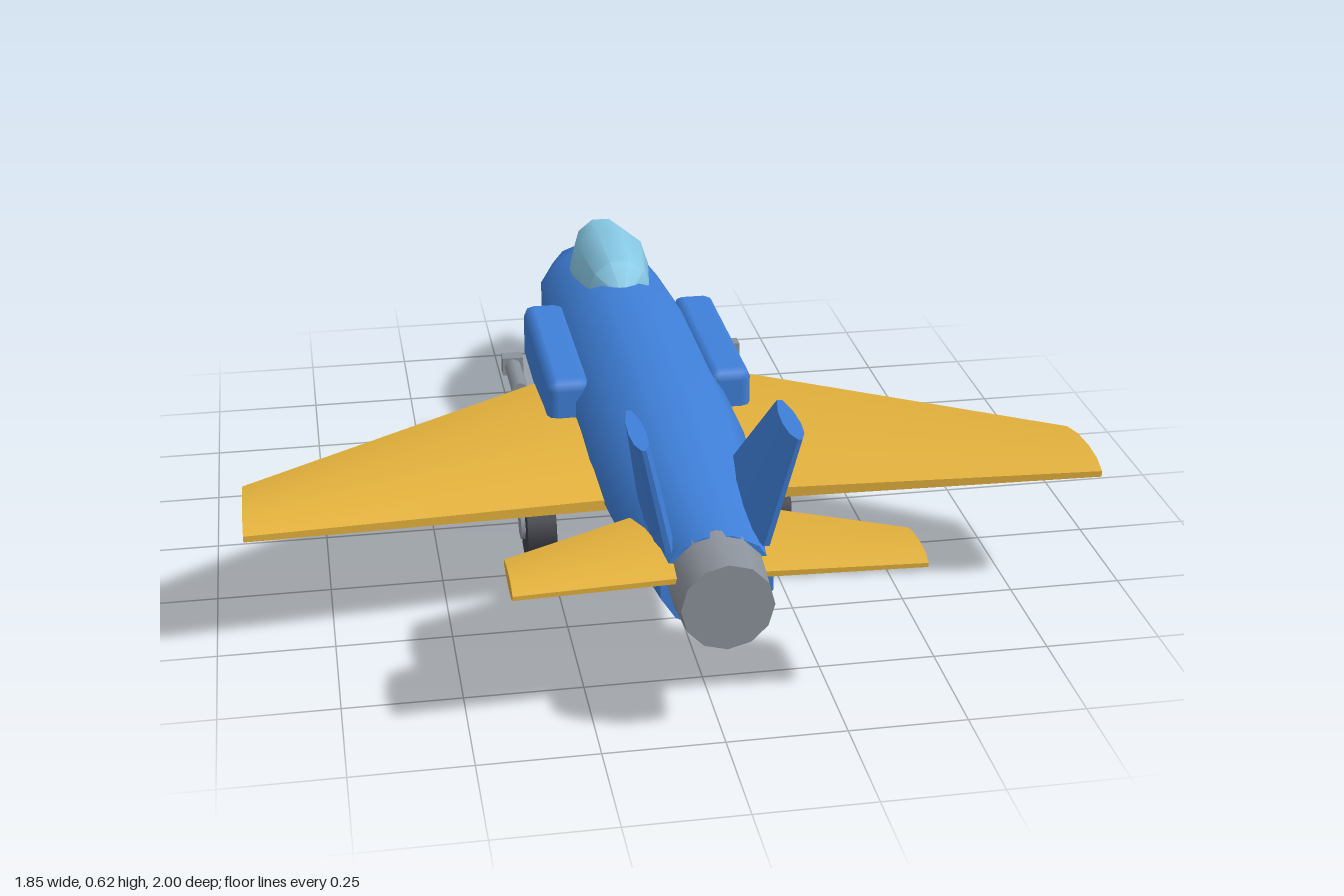
import * as THREE from 'three';
import { toCreasedNormals } from 'three/addons/utils/BufferGeometryUtils.js';
import { RoundedBoxGeometry } from 'three/addons/geometries/RoundedBoxGeometry.js';

const paint = (color) => new THREE.MeshStandardMaterial({ color });

// Skin over closed rings of [x, y, z] points, with both ends capped and faces turned outward
function loft(rings, crease) {
  const n = rings[0].length;
  const pos = rings.flat(2);
  const tris = [];
  for (let r = 0; r < rings.length - 1; r++) {
    for (let i = 0; i < n; i++) {
      const a = r * n + i, b = r * n + (i + 1) % n;
      tris.push([a, b, b + n], [a, b + n, a + n]);
    }
  }
  const last = (rings.length - 1) * n;
  for (let i = 1; i < n - 1; i++) {
    tris.push([0, i + 1, i], [last, last + i, last + i + 1]);
  }
  const point = (i) => new THREE.Vector3().fromArray(pos, i * 3);
  let volume = 0;
  for (const [a, b, c] of tris) volume += point(a).dot(point(b).cross(point(c)));
  if (volume < 0) tris.forEach((t) => t.reverse());
  const g = new THREE.BufferGeometry();
  g.setAttribute('position', new THREE.Float32BufferAttribute(pos, 3));
  g.setIndex(tris.flat());
  return toCreasedNormals(g, crease);
}

// Elliptical body along z; stations are [z, centre y, half width, half height]
function body(stations, sides) {
  return loft(stations.map(([z, y, w, h]) => Array.from({ length: sides }, (_, i) => {
    const a = ((i + 0.5) / sides) * Math.PI * 2;
    return [Math.sin(a) * w, y + Math.cos(a) * h, z];
  })), 0.75);
}

// Foil outline: [fraction of chord from the leading edge, fraction of half thickness]
const upper = [[0, 0.3], [0.3, 0.85], [0.6, 1], [0.85, 0.8], [1, 0.25]];
const foil = [...upper, ...upper.map(([u, v]) => [u, -v]).reverse()];

// Foil surface between two ends { x, y, z0, z1, t }; upright ones are thick along x
function surface(ends, side, upright = false) {
  return loft(ends.map(({ x, y, z0, z1, t }) => foil.map(([u, v]) => [
    side * (x + (upright ? v * t : 0)),
    y + (upright ? 0 : v * t),
    z0 + u * (z1 - z0),
  ])), 0.5);
}

export function createModel() {
  const model = new THREE.Group();
  const blue = paint(0x3f7fd8), yellow = paint(0xe2b03c), glass = paint(0x87c8e4);
  const grey = paint(0x8c929b), dark = paint(0x3c3f46);

  const add = (name, geometry, material, x = 0, y = 0, z = 0) => {
    const mesh = new THREE.Mesh(geometry, material);
    mesh.name = name;
    mesh.position.set(x, y, z);
    model.add(mesh);
    return mesh;
  };
  const box = (name, material, w, h, d, x, y, z) =>
    add(name, new THREE.BoxGeometry(w, h, d), material, x, y, z);
  const wheel = (name, material, radius, width, sides, x, y, z) => {
    const g = new THREE.CylinderGeometry(radius, radius, width, sides).rotateZ(Math.PI / 2);
    return add(name, g, material, x, y, z);
  };

  // Fuselage, nose toward -z
  add('fuselage', body([
    [-1, 0.29, 0.002, 0.002],
    [-0.88, 0.293, 0.102, 0.07],
    [-0.7, 0.298, 0.158, 0.118],
    [-0.3, 0.308, 0.178, 0.156],
    [0.32, 0.31, 0.178, 0.153],
    [0.6, 0.307, 0.155, 0.132],
    [0.89, 0.303, 0.118, 0.104],
  ], 12), blue);

  // Canopy bubble
  add('canopy', body([
    [-0.712, 0.43, 0.01, 0.01],
    [-0.67, 0.43, 0.07, 0.078],
    [-0.53, 0.43, 0.1, 0.103],
    [-0.36, 0.43, 0.075, 0.08],
    [-0.295, 0.43, 0.012, 0.015],
  ], 10), glass);

  // Exhaust nozzle
  const nozzle = new THREE.CylinderGeometry(0.093, 0.102, 0.13, 12).rotateX(Math.PI / 2);
  add('nozzle', nozzle, grey, 0, 0.307, 0.935);

  for (const side of [-1, 1]) {
    const label = side > 0 ? 'left' : 'right';

    // Wing, tailplane and outward canted fin
    add(label + 'Wing', surface([
      { x: 0.1, y: 0.265, z0: -0.26, z1: 0.45, t: 0.05 },
      { x: 0.925, y: 0.292, z0: 0.305, z1: 0.535, t: 0.027 },
    ], side), yellow);
    add(label + 'Tailplane', surface([
      { x: 0.08, y: 0.335, z0: 0.635, z1: 0.93, t: 0.024 },
      { x: 0.413, y: 0.337, z0: 0.8, z1: 0.95, t: 0.018 },
    ], side), yellow);
    add(label + 'Fin', surface([
      { x: 0.098, y: 0.375, z0: 0.52, z1: 0.89, t: 0.024 },
      { x: 0.152, y: 0.618, z0: 0.735, z1: 0.92, t: 0.018 },
    ], side, true), blue);

    // Chamfered air intake
    const intake = new RoundedBoxGeometry(0.1, 0.145, 0.49, 1, 0.025);
    add(label + 'Intake', intake, blue, side * 0.186, 0.328, -0.145);

    // Gun barrel and muzzle block
    const barrel = new THREE.CylinderGeometry(0.02, 0.02, 0.15, 8).rotateX(Math.PI / 2);
    add(label + 'GunBarrel', barrel, grey, side * 0.27, 0.263, -0.25);
    box(label + 'GunMuzzle', grey, 0.05, 0.045, 0.036, side * 0.27, 0.263, -0.338);

    // Main landing gear
    box(label + 'MainStrut', grey, 0.058, 0.13, 0.058, side * 0.27, 0.195, 0.165);
    wheel(label + 'MainTyre', dark, 0.083, 0.066, 12, side * 0.271, 0.083, 0.165);
    wheel(label + 'MainHub', grey, 0.036, 0.05, 6, side * 0.289, 0.085, 0.165);
  }

  // Nose landing gear
  box('noseStrut', grey, 0.045, 0.13, 0.05, 0, 0.155, -0.667);
  wheel('noseTyre', dark, 0.067, 0.052, 12, 0, 0.068, -0.667);

  return model;
}
